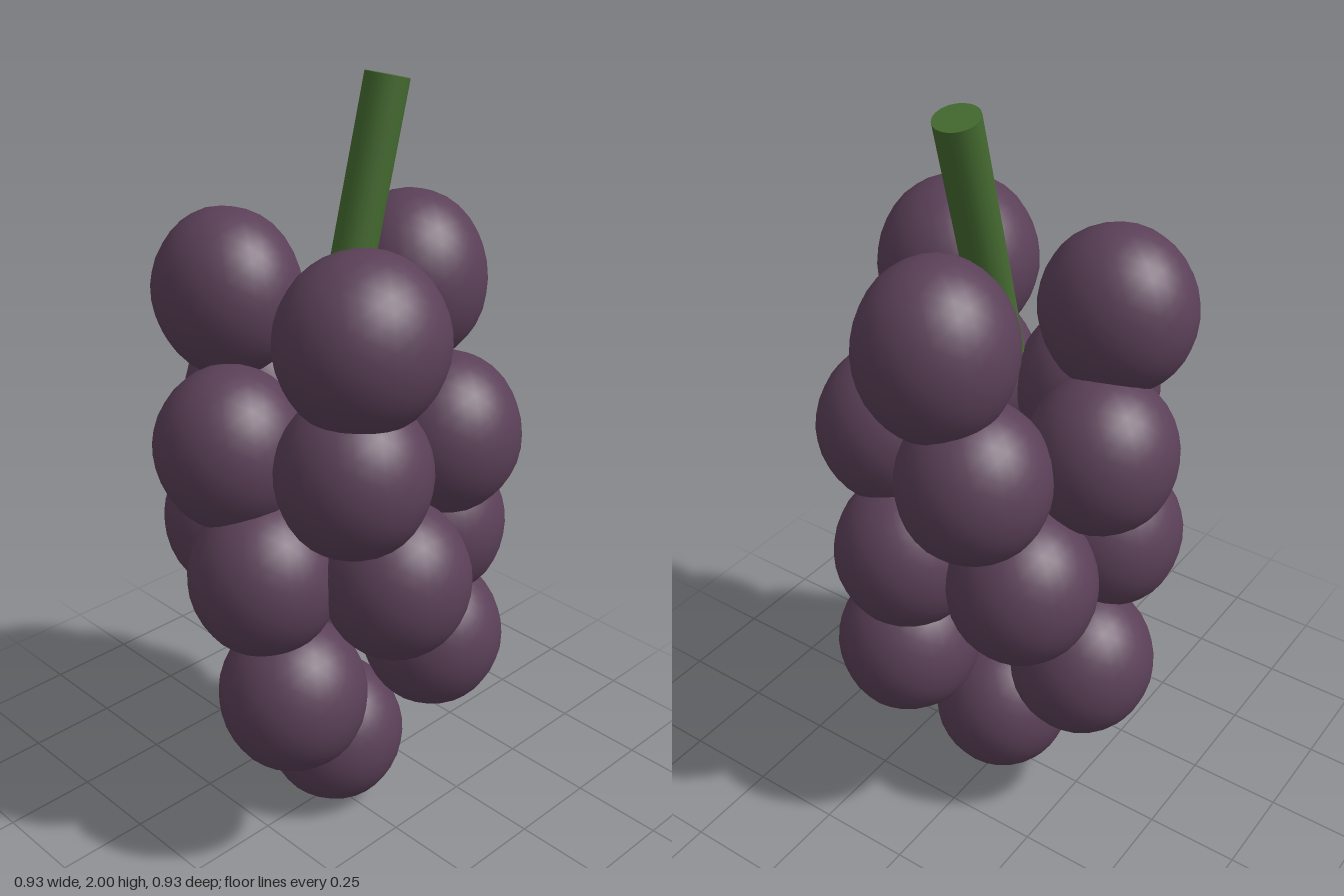
import * as THREE from 'three';

const berrySkin = new THREE.MeshStandardMaterial({ color: 0x5b4058 });
berrySkin.name = 'purple skin';
const stemGreen = new THREE.MeshStandardMaterial({ color: 0x446a30 });
stemGreen.name = 'stem green';

// Rings of berries from top to bottom: height, ring radius, first angle, count
const rings = [
  { y: 1.47, radius: 0.27, start: 0, count: 3 },
  { y: 1.145, radius: 0.28, start: -20, count: 5 },
  { y: 0.835, radius: 0.275, start: 28, count: 5 },
  { y: 0.51, radius: 0.27, start: 36, count: 3 },
  { y: 0.21, radius: 0.005, start: 0, count: 1 },
];

// Individual half-sizes of the top berries, which differ most
const topSizes = [[0.195, 0.225, 0.195], [0.21, 0.215, 0.2], [0.18, 0.21, 0.197]];
const commonSize = [0.19, 0.207, 0.19];

// Slightly uneven berry, smooth shaded
function berryGeometry(size, seed) {
  const geometry = new THREE.IcosahedronGeometry(1, 5);
  const p = geometry.attributes.position;
  const v = new THREE.Vector3();
  const normals = [];
  for (let i = 0; i < p.count; i++) {
    v.fromBufferAttribute(p, i);
    const bump = 1 + 0.012 * Math.sin(4 * v.x + seed) * Math.sin(4 * v.y + 2 * seed) * Math.cos(4 * v.z + seed);
    const n = v.clone().divide(new THREE.Vector3(...size)).normalize();
    normals.push(n.x, n.y, n.z);
    p.setXYZ(i, v.x * size[0] * bump, v.y * size[1] * bump, v.z * size[2] * bump);
  }
  geometry.setAttribute('normal', new THREE.Float32BufferAttribute(normals, 3));
  return geometry;
}

export function createModel() {
  const model = new THREE.Group();
  model.name = 'grapeBunch';

  // Berries
  rings.forEach((ring, r) => {
    const row = new THREE.Group();
    row.name = `berryRow${r + 1}`;
    for (let i = 0; i < ring.count; i++) {
      const angle = THREE.MathUtils.degToRad(ring.start + (i * 360) / ring.count);
      const size = r === 0 ? topSizes[i] : commonSize;
      const berry = new THREE.Mesh(berryGeometry(size, r * 5 + i), berrySkin);
      berry.name = 'berry';
      berry.position.set(Math.cos(angle) * ring.radius, ring.y, Math.sin(angle) * ring.radius);
      row.add(berry);
    }
    model.add(row);
  });

  // Leaning stem
  const bottom = new THREE.Vector3(0.01, 1.35, 0);
  const top = new THREE.Vector3(0.175, 1.986, 0);
  const axis = top.clone().sub(bottom);
  const stem = new THREE.Mesh(new THREE.CylinderGeometry(0.055, 0.055, axis.length(), 20), stemGreen);
  stem.name = 'stem';
  stem.position.copy(bottom).add(top).multiplyScalar(0.5);
  stem.quaternion.setFromUnitVectors(new THREE.Vector3(0, 1, 0), axis.normalize());
  model.add(stem);

  return model;
}
